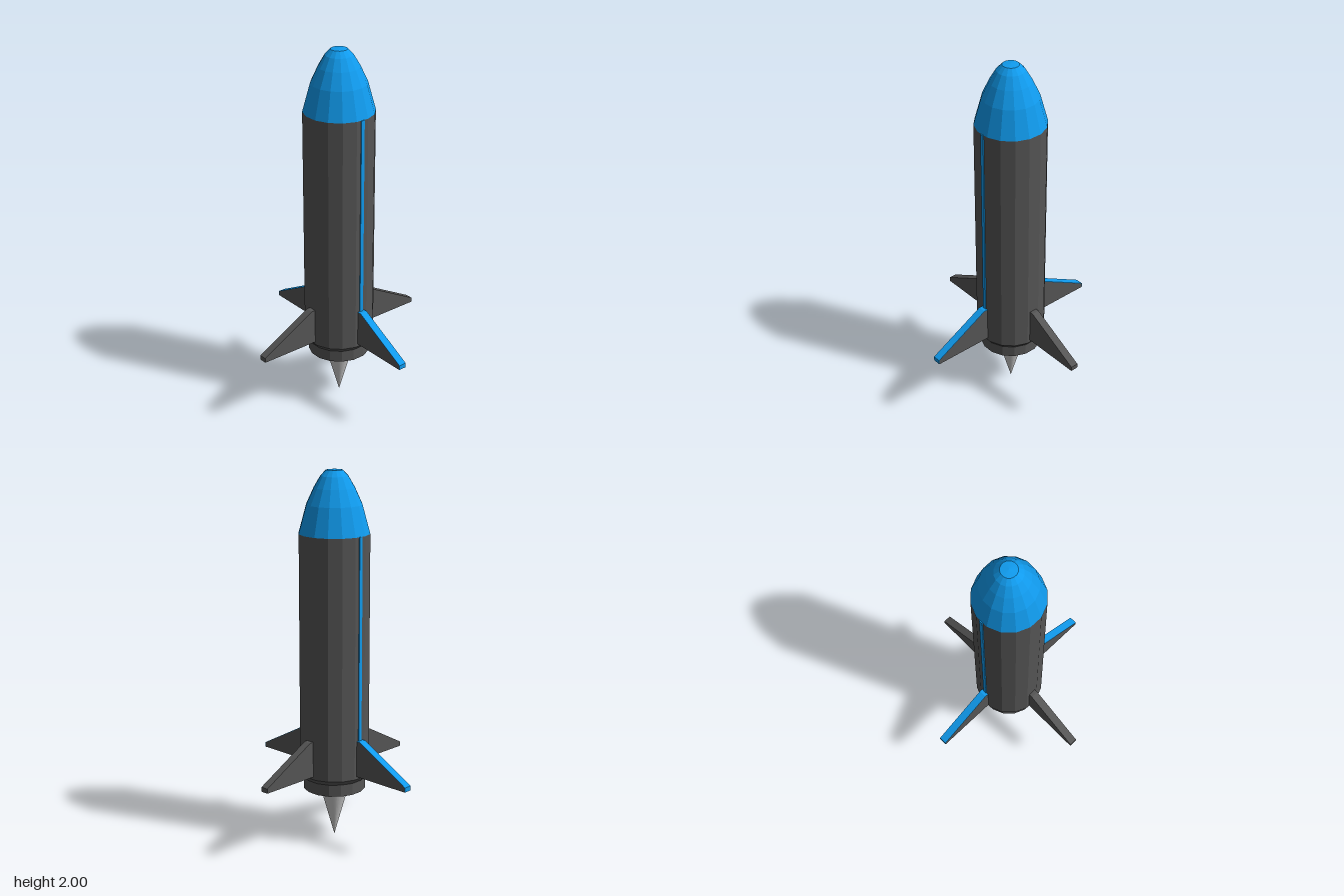
import * as THREE from 'three';

const paint = (color, flatShading = true) => new THREE.MeshStandardMaterial({ color, flatShading });

export function createModel() {
  const rocket = new THREE.Group();
  rocket.name = 'rocket';
  const dark = paint(0x555555);
  const blue = paint(0x109bee);
  const grey = paint(0xcccccc, false);

  const add = (parent, name, geometry, material) => {
    const mesh = new THREE.Mesh(geometry, material);
    mesh.name = name;
    parent.add(mesh);
    return mesh;
  };
  const points = (list) => list.map(([x, y]) => new THREE.Vector2(x, y));
  const lathe = (profile) => new THREE.LatheGeometry(points(profile), 16);

  // Side outline (radius, height) extruded to a plate centred on z = 0
  const plate = (outline, depth) => {
    const geometry = new THREE.ExtrudeGeometry(new THREE.Shape(points(outline)), { depth, bevelEnabled: false });
    return geometry.translate(0, 0, -depth / 2);
  };

  // Sixteen-sided hull with stepped tail ring and hollow engine bay
  add(rocket, 'body', lathe([
    [0, 0.32], [0.13, 0.32], [0.135, 0.28], [0.168, 0.28],
    [0.168, 0.345], [0.188, 0.37], [0.188, 1.67],
  ]), dark);

  // Faceted ogive nose
  add(rocket, 'noseCone', lathe([
    [0.188, 1.67], [0.147, 1.82], [0.108, 1.905], [0.073, 1.965], [0.044, 1.995], [0, 2],
  ]), blue);

  // Exhaust spike pointing down
  const flame = add(rocket, 'exhaustCone', new THREE.ConeGeometry(0.086, 0.31, 32), grey);
  flame.rotation.x = Math.PI;
  flame.position.y = 0.155;

  // Four fins, each centred on a hull facet; the side pair carries blue trim
  const fin = [[0.17, 0.385], [0.52, 0.385], [0.52, 0.41], [0.205, 0.58], [0.17, 0.58]];
  const trim = [
    [0.52, 0.386], [0.523, 0.386], [0.523, 0.411], [0.206, 0.583],
    [0.17, 0.583], [0.17, 0.58], [0.205, 0.58], [0.52, 0.41],
  ];
  for (let i = 0; i < 4; i++) {
    const finGroup = new THREE.Group();
    finGroup.name = 'finAssembly' + (i + 1);
    finGroup.rotation.y = -Math.PI / 16 - i * Math.PI / 2;
    rocket.add(finGroup);
    add(finGroup, 'fin', plate(fin, 0.043), dark);
    if (i % 2 === 0) {
      add(finGroup, 'finTrim', plate(trim, 0.043), blue);
      const stripe = add(finGroup, 'bodyStripe', new THREE.BoxGeometry(0.012, 1.09, 0.021), blue);
      stripe.position.set(0.183, 1.125, 0);
    }
  }
  return rocket;
}
